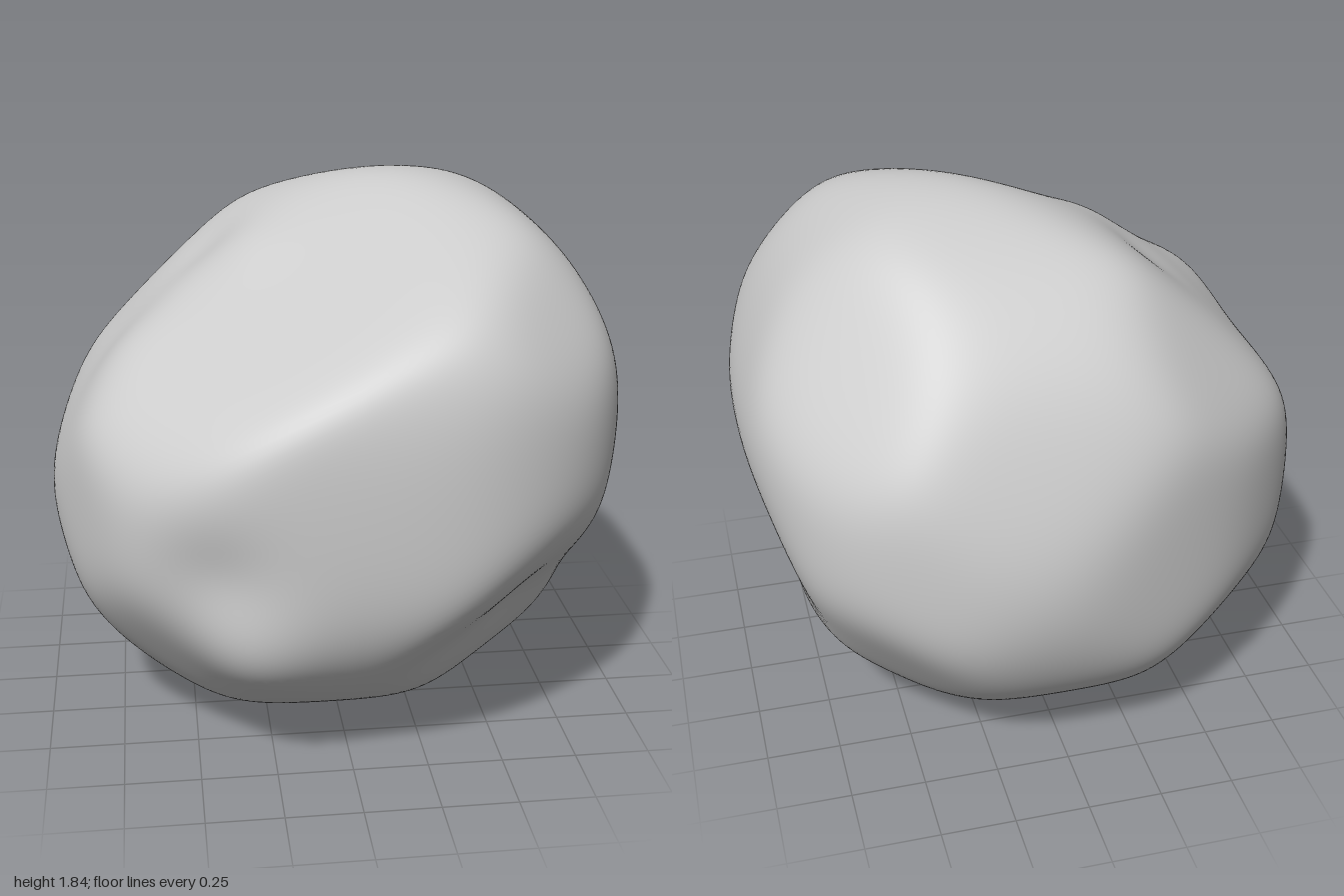
import * as THREE from 'three';
import { mergeVertices } from 'three/addons/utils/BufferGeometryUtils.js';

const CENTRE = new THREE.Vector3(0, 0.93, 0);
const SHARPNESS = 24; // higher gives crisper edges between facets
const EDGE_LOSS = 1.012; // makes up for what the rounding takes off

const X = new THREE.Vector3(1, 0, 0);
const Y = new THREE.Vector3(0, 1, 0);
const Z = new THREE.Vector3(0, 0, 1);
const facets = [];

// A ring of evenly turned facets, from axis u towards axis v; 0 leaves one out
function addRing(u, v, distances) {
  distances.forEach((d, i) => {
    const a = (i / distances.length) * Math.PI * 2;
    if (d) facets.push({ n: u.clone().multiplyScalar(Math.cos(a)).addScaledVector(v, Math.sin(a)), d });
  });
}
// Round the silhouette from the front, from the side and from above
addRing(X, Y, [1, 1, 1.03, 1.01, 0.94, 0.83, 0.77, 0.88, 1, 0.98, 0.99, 0.92, 0.93, 0.91, 0.96, 0.86]);
addRing(Z, Y, [0.95, 1.02, 1.05, 0.92, 0, 0.92, 0.9, 0.89, 0.97, 0.98, 0.98, 0.93, 0, 0.93, 0.97, 1]);
addRing(X, Z, [0, 1.02, 1.06, 1.02, 0, 1.03, 1.04, 0.97, 0, 0.97, 0.92, 0.89, 0, 1, 1.045, 1.01]);

// Eight corners, x changing fastest, then y, then z
[0.96, 0.96, 0.87, 0.96, 0.98, 0.9, 0.9, 1.06].forEach((d, i) => {
  const n = new THREE.Vector3(i & 1 ? 1 : -1, i & 2 ? 1 : -1, i & 4 ? 1 : -1).normalize();
  facets.push({ n, d });
});

// Large sloping face at the upper front
facets.push({ n: new THREE.Vector3(-0.38, 0.84, 0.4).normalize(), d: 0.745 });

// Local swellings and hollows: place, height and spread
const bump = (x, y, z, h, s) => ({ n: new THREE.Vector3(x, y, z).sub(CENTRE).normalize(), h, s });
const bumps = [
  // swelling below the undercut side
  bump(0.76, 0.42, -0.2, 0.05, 0.24), bump(0.76, 0.42, 0.15, 0.05, 0.24),
  // groove under the front face
  bump(0.62, 0.48, 0.58, -0.04, 0.22), bump(0.32, 0.38, 0.76, -0.03, 0.2),
  // uneven front face
  bump(-0.45, 0.75, 0.85, -0.05, 0.2), bump(-0.3, 0.48, 0.85, 0.03, 0.2),
  // uneven upper slope
  bump(-0.38, 1.55, -0.1, -0.025, 0.22), bump(-0.25, 1.6, 0.15, 0.02, 0.2),
  bump(-0.65, 1.3, 0.25, 0.025, 0.22),
];

// Softly rounded meeting of all facets, plus the bumps
function radius(dir) {
  let sum = 0;
  for (const { n, d } of facets) sum += Math.max(0, dir.dot(n) / d) ** SHARPNESS;
  let r = EDGE_LOSS * sum ** (-1 / SHARPNESS);
  for (const { n, h, s } of bumps) r += h * Math.exp(-dir.distanceToSquared(n) / (s * s));
  return r;
}

export function createModel() {
  let geometry = new THREE.IcosahedronGeometry(1, 40);
  geometry.deleteAttribute('normal');
  geometry.deleteAttribute('uv');
  geometry = mergeVertices(geometry, 1e-4);

  // Push every point of the sphere out to the rock's surface
  const pos = geometry.attributes.position;
  const v = new THREE.Vector3();
  for (let i = 0; i < pos.count; i++) {
    v.fromBufferAttribute(pos, i).normalize();
    v.multiplyScalar(radius(v)).add(CENTRE);
    pos.setXYZ(i, v.x, v.y, v.z);
  }

  // Rest it on the ground
  geometry.computeBoundingBox();
  geometry.translate(0, -geometry.boundingBox.min.y, 0);
  geometry.computeVertexNormals();

  const boulder = new THREE.Mesh(geometry, new THREE.MeshStandardMaterial({ color: 0xcccccc }));
  boulder.name = 'boulder';
  const group = new THREE.Group();
  group.name = 'rock';
  group.add(boulder);
  return group;
}
